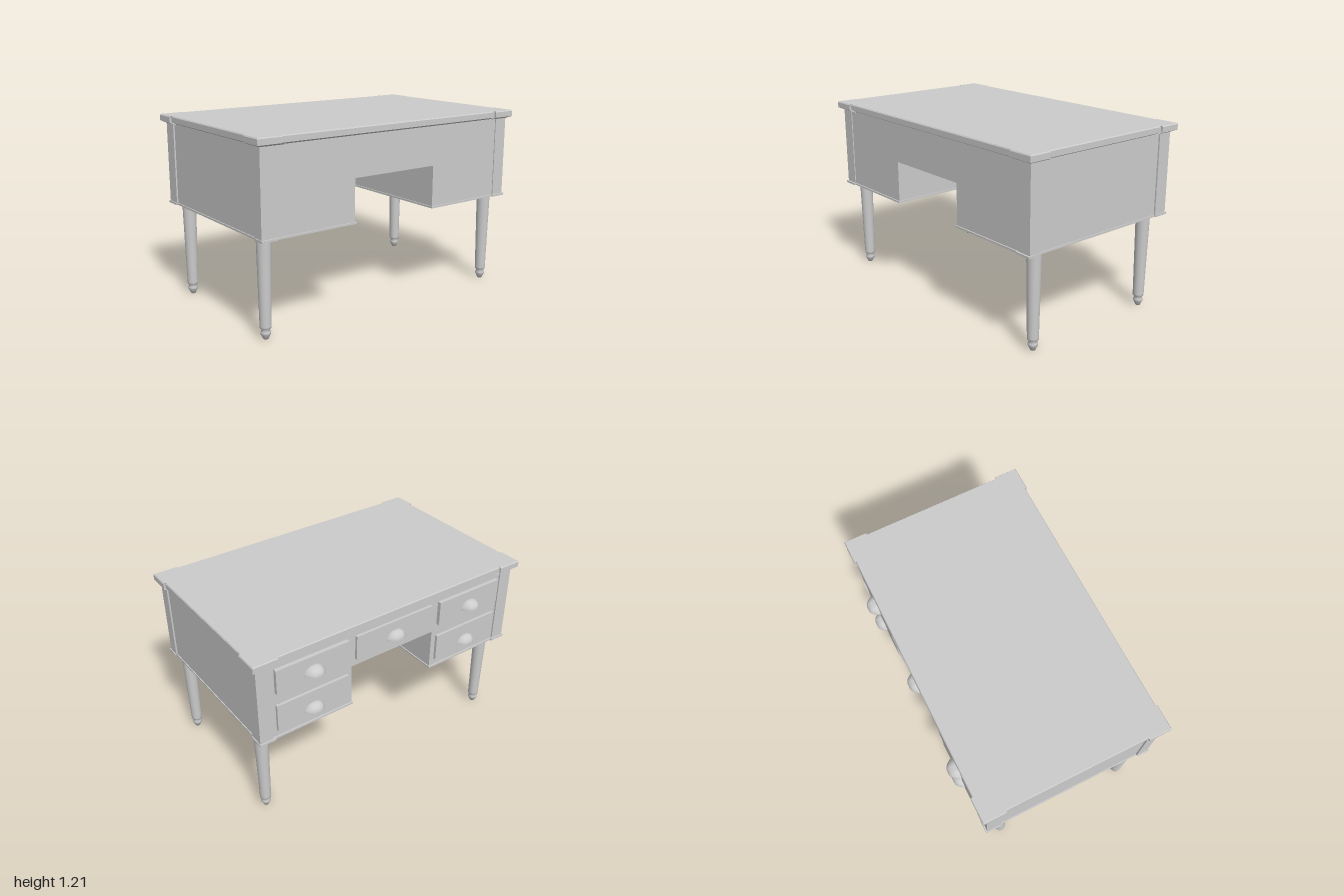
import * as THREE from 'three';

const material = new THREE.MeshStandardMaterial({ color: 0xcccccc });
const openMaterial = new THREE.MeshStandardMaterial({ color: 0xcccccc, side: THREE.DoubleSide });

export function createModel() {
  const desk = new THREE.Group();
  desk.name = 'desk';

  const add = (name, geometry, mat = material) => {
    const mesh = new THREE.Mesh(geometry, mat);
    mesh.name = name;
    desk.add(mesh);
    return mesh;
  };
  // Box given by its limits on each axis
  const box = (name, x0, x1, y0, y1, z0, z1) => {
    const mesh = add(name, new THREE.BoxGeometry(x1 - x0, y1 - y0, z1 - z0));
    mesh.position.set((x0 + x1) / 2, (y0 + y1) / 2, (z0 + z1) / 2);
    return mesh;
  };
  const shapeOf = (points) => new THREE.Shape(points.map(([x, y]) => new THREE.Vector2(x, y)));

  // Carcass: an arch-shaped section with the knee hole, run along x
  const carcass = new THREE.ExtrudeGeometry(shapeOf([
    [-0.96, 0.63], [-0.315, 0.63], [-0.315, 0.9], [0.315, 0.9],
    [0.315, 0.63], [0.96, 0.63], [0.96, 1.16], [-0.96, 1.16],
  ]), { depth: 1.15, bevelEnabled: false });
  carcass.rotateY(Math.PI / 2).translate(-0.555, 0, 0);
  add('carcass', carcass);

  // Table top: outline with projecting corner blocks, layered from moulding to top edge
  const cx = 0.017, hx = 0.615, hz = 1, step = 0.012;
  const outline = [];
  const corner = [[hx - step, 0.84], [hx, 0.84], [hx, hz], [hx - 0.147, hz], [hx - 0.147, hz - step]];
  for (const [sx, sz] of [[1, 1], [-1, 1], [-1, -1], [1, -1]]) {
    const points = corner.map(([x, z]) => [x * sx, z * sz]);
    outline.push(...(sx * sz > 0 ? points : points.reverse()));
  }
  const layers = [[1.155, 0.028], [1.168, 0], [1.203, 0], [1.21, 0.005]];
  const top = new THREE.ExtrudeGeometry(shapeOf(outline), { depth: 3, steps: 3, bevelEnabled: false });
  const p = top.attributes.position;
  for (let i = 0; i < p.count; i++) {
    const [y, inset] = layers[Math.round(p.getZ(i))];
    p.setXYZ(i, p.getX(i) * (1 - inset / hx), p.getY(i) * (1 - inset / hz), y);
  }
  top.computeVertexNormals();
  top.rotateX(-Math.PI / 2).translate(cx, 0, 0);
  add('tableTop', top);

  // Turned leg profile: foot, neck and tapered shaft
  const legProfile = [
    [0, 0], [0.015, 0], [0.031, 0.033], [0.031, 0.044], [0.024, 0.058],
    [0.035, 0.07], [0.0355, 0.08], [0.045, 0.62],
  ].map(([r, y]) => new THREE.Vector2(r, y));
  const legGeometry = new THREE.LatheGeometry(legProfile, 20);

  // Cup handle: quarter turn about z, open underneath
  const cupProfile = [
    [0, -0.07], [0.014, -0.067], [0.036, -0.048], [0.047, -0.03], [0.05, -0.015],
    [0.05, 0.015], [0.047, 0.03], [0.036, 0.048], [0.014, 0.067], [0, 0.07],
  ].map(([r, y]) => new THREE.Vector2(r, y));
  const cupGeometry = new THREE.LatheGeometry(cupProfile, 10, Math.PI, Math.PI / 2);
  cupGeometry.rotateX(Math.PI / 2);

  // Drawer front slab with its handle
  const drawer = (name, front, y0, y1, z, halfWidth, handleY, reach) => {
    box(name, front, -0.55, y0, y1, z - halfWidth, z + halfWidth);
    const handle = add(name + 'Handle', cupGeometry, openMaterial);
    handle.position.set(front, handleY, z);
    handle.scale.x = reach / 0.05;
  };
  drawer('centreDrawer', -0.573, 0.948, 1.112, 0, 0.29, 1.002, 0.05);

  for (const s of [-1, 1]) {
    const span = (name, x0, x1, y0, y1, za, zb) =>
      box(name, x0, x1, y0, y1, Math.min(s * za, s * zb), Math.max(s * za, s * zb));

    drawer('upperDrawer', -0.58, 0.948, 1.112, s * 0.6, 0.25, 1.002, 0.06);
    drawer('lowerDrawer', -0.573, 0.676, 0.86, s * 0.6, 0.25, 0.73, 0.05);

    // Thin base plate under each pedestal
    span('basePlate', -0.565, 0.603, 0.62, 0.632, 0.308, 0.966);

    // Corner posts, their base blocks and the legs
    for (const [x0, x1, outer, legX] of [[-0.565, -0.469, -0.575, -0.44], [0.524, 0.601, 0.613, 0.5]]) {
      span('cornerPost', x0, x1, 0.63, 1.16, 0.877, 0.97);
      span('cornerBase', Math.min(outer, x0 + 0.01), Math.max(outer, x1), 0.6195, 0.6325, 0.867, 0.976);
      add('leg', legGeometry).position.set(legX, 0, s * 0.897);
    }
  }
  return desk;
}
